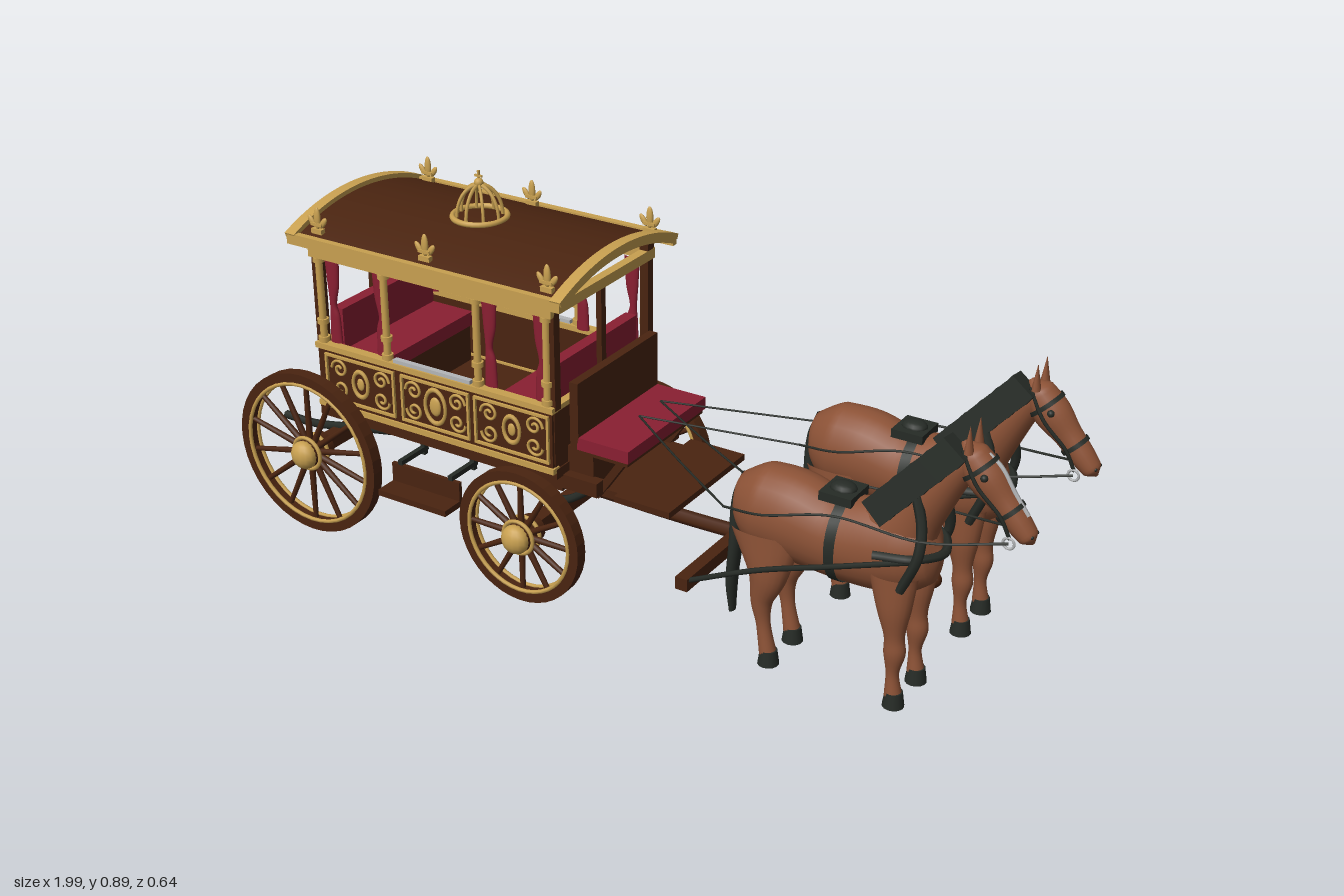
import * as THREE from 'three';

const M = (name, color, side = THREE.FrontSide) => {
  const m = new THREE.MeshStandardMaterial({ color, side });
  m.name = name;
  return m;
};
const V = (x, y, z) => new THREE.Vector3(x, y, z);

// Smooth tube along the xy plane with elliptical sections [x, y, radiusInPlane, radiusZ]
function loft(secs, rows = 24, cols = 20) {
  const path = new THREE.CatmullRomCurve3(secs.map(s => V(s[0], s[1], 0)));
  const radii = new THREE.CatmullRomCurve3(secs.map(s => V(s[2], s[3], 0)));
  const pos = [], idx = [];
  for (let i = 0; i <= rows; i++) {
    const p = path.getPoint(i / rows), t = path.getTangent(i / rows), r = radii.getPoint(i / rows);
    for (let j = 0; j < cols; j++) {
      const a = j / cols * Math.PI * 2, c = Math.cos(a) * r.x;
      pos.push(p.x - t.y * c, p.y + t.x * c, Math.sin(a) * r.y);
      if (i === rows) continue;
      const a0 = i * cols + j, b0 = i * cols + (j + 1) % cols;
      idx.push(a0, b0, a0 + cols, b0, b0 + cols, a0 + cols);
    }
  }
  const g = new THREE.BufferGeometry();
  g.setAttribute('position', new THREE.Float32BufferAttribute(pos, 3));
  g.setIndex(idx);
  g.computeVertexNormals();
  return g;
}
const box = (x, y, z) => new THREE.BoxGeometry(x, y, z);
const cyl = (a, b, h, n = 14) => new THREE.CylinderGeometry(a, b, h, n);
const ball = (r, sx = 1, sy = 1, sz = 1) => new THREE.SphereGeometry(r, 14, 10).scale(sx, sy, sz);
const tube = (pts, r, n = 24) => new THREE.TubeGeometry(new THREE.CatmullRomCurve3(pts.map(p => V(...p))), n, r, 6);

export function createModel() {
  const wood = M('dark wood', 0x4a2410), gold = M('gold', 0xc8a050), red = M('crimson velvet', 0x8a1f32);
  const coat = M('bay coat', 0x8c5236), black = M('black leather', 0x262b26, THREE.DoubleSide), silver = M('silver', 0xb4b6b8);
  const root = new THREE.Group();
  root.name = 'horseCarriage';
  const group = (name, parent = root) => {
    const g = new THREE.Group();
    g.name = name;
    parent.add(g);
    return g;
  };
  const add = (parent, name, geo, mat, x = 0, y = 0, z = 0) => {
    const m = new THREE.Mesh(geo, mat);
    m.name = name;
    m.position.set(x, y, z);
    parent.add(m);
    return m;
  };
  const sides = [1, -1];

  // Wheels
  const wheel = (name, x, R, s, spokes) => {
    const w = group(name);
    w.position.set(x, R, s * 0.272);
    if (s < 0) w.rotation.y = Math.PI;
    const ring = new THREE.Shape().absarc(0, 0, R, 0, Math.PI * 2);
    ring.holes.push(new THREE.Path().absarc(0, 0, R - 0.026, 0, Math.PI * 2, true));
    add(w, 'rim', new THREE.ExtrudeGeometry(ring, { depth: 0.03, bevelEnabled: false, curveSegments: 20 }), wood, 0, 0, -0.015);
    for (const z of [0.014, -0.014]) {
      add(w, 'rimBand', new THREE.TorusGeometry(R - 0.027, 0.005, 6, 40), gold, 0, 0, z);
      add(w, 'hubBand', new THREE.TorusGeometry(0.04, 0.005, 6, 24), gold, 0, 0, z);
    }
    for (let i = 0; i < spokes; i++) {
      const a = i / spokes * Math.PI * 2, r = R / 2;
      add(w, 'spoke', cyl(0.006, 0.008, R - 0.04, 8), wood, -Math.sin(a) * r, Math.cos(a) * r, 0).rotation.z = a;
    }
    add(w, 'hub', cyl(0.034, 0.034, 0.07, 18).rotateX(Math.PI / 2), wood, 0, 0, -0.01);
    add(w, 'hubCap', ball(0.035, 1, 1, 0.75), gold, 0, 0, 0.024);
  };
  for (const s of sides) {
    wheel('rearWheel', -0.795, 0.205, s, 14);
    wheel('frontWheel', -0.18, 0.163, s, 12);
  }

  // Undercarriage
  const under = group('undercarriage');
  add(under, 'rearAxle', box(0.03, 0.035, 0.5), wood, -0.795, 0.205);
  add(under, 'frontAxle', box(0.035, 0.035, 0.5), wood, -0.18, 0.163);
  add(under, 'reach', box(0.64, 0.025, 0.03), wood, -0.48, 0.2);
  add(under, 'turntable', cyl(0.09, 0.09, 0.03, 24), black, -0.18, 0.215);
  add(under, 'bolster', box(0.06, 0.045, 0.3), wood, -0.18, 0.25);
  for (const s of sides) {
    add(under, 'sideBeam', box(0.8, 0.035, 0.03), wood, -0.44, 0.27, s * 0.16);
    add(under, 'rearSpring', tube([[-0.97, 0.21, s * 0.16], [-0.88, 0.21, s * 0.16], [-0.74, 0.235, s * 0.16], [-0.6, 0.26, s * 0.16]], 0.01), black);
    add(under, 'frontSpring', tube([[-0.3, 0.26, s * 0.13], [-0.18, 0.19, s * 0.13], [-0.06, 0.26, s * 0.13]], 0.01), black);
    add(under, 'step', box(0.195, 0.015, 0.06), wood, -0.467, 0.175, s * 0.275);
    add(under, 'stepRiser', box(0.195, 0.055, 0.01), wood, -0.467, 0.202, s * 0.245);
    for (const x of [-0.54, -0.395]) add(under, 'stepHanger', box(0.012, 0.012, 0.1), black, x, 0.235, s * 0.2);
    for (const x of [-0.54, -0.395]) add(under, 'stepBracket', box(0.012, 0.07, 0.012), black, x, 0.255, s * 0.16);
  }

  // Cabin body
  const cabin = group('cabin');
  add(cabin, 'floor', box(0.68, 0.025, 0.4), wood, -0.47, 0.297);
  for (const x of [-0.8, -0.14]) {
    add(cabin, 'endPanel', box(0.014, 0.155, 0.4), wood, x, 0.378);
    add(cabin, 'endMullion', box(0.014, 0.24, 0.018), wood, x, 0.57);
    add(cabin, 'endCornice', box(0.022, 0.025, 0.42), gold, x, 0.694);
    add(cabin, 'endSill', box(0.02, 0.012, 0.41), gold, x, 0.458);
    for (const s of sides) add(cabin, 'cornerPost', box(0.022, 0.28, 0.022), wood, x, 0.595, s * 0.19);
  }
  const spiral = (cx, cy, dir, up) => {
    const pts = [];
    for (let i = 0; i <= 14; i++) {
      const a = i / 14 * 9, r = 0.024 * (1 - i / 17);
      pts.push([cx + dir * Math.cos(a) * r, cy + up * Math.sin(a) * r, 0]);
    }
    return tube(pts, 0.0035, 36);
  };
  for (const s of sides) {
    const side = group('cabinSide', cabin);
    side.position.z = s * 0.2;
    if (s < 0) side.scale.z = -1;
    add(side, 'sidePanel', box(0.67, 0.155, 0.014), wood, -0.47, 0.378, 0);
    for (const [y, h] of [[0.458, 0.014], [0.308, 0.014], [0.694, 0.025]]) add(side, 'sideRail', box(0.68, h, 0.024), gold, -0.47, y, 0);
    add(side, 'upperRail', box(0.68, 0.02, 0.016), wood, -0.47, 0.716, 0);
    add(side, 'doorSill', box(0.22, 0.01, 0.014), silver, -0.47, 0.469, 0);
    // Carved panels
    for (const [x, w, big] of [[-0.68, 0.2, 0], [-0.46, 0.19, 1], [-0.245, 0.2, 0]]) {
      for (const y of [0.328, 0.44]) add(side, 'panelFrame', box(w, 0.006, 0.008), gold, x, y, 0.009);
      for (const d of sides) {
        add(side, 'panelFrame', box(0.006, 0.118, 0.008), gold, x + d * w / 2, 0.384, 0.009);
        for (const u of sides) add(side, 'scroll', spiral(x + d * 0.062, 0.384 + u * 0.025, d, u), gold, 0, 0, 0.009);
      }
      add(side, 'medallionRing', new THREE.TorusGeometry(big ? 0.034 : 0.026, 0.005, 6, 24).scale(0.85, 1.25, 1), gold, x, 0.384, 0.009);
      add(side, 'medallion', ball(big ? 0.02 : 0.013, 0.8, 1.2, 0.3), gold, x, 0.384, 0.009);
    }
    // Columns and tied curtains
    for (const [x, d] of [[-0.79, 1], [-0.6, -1], [-0.34, 1], [-0.15, -1]]) {
      add(side, 'column', cyl(0.009, 0.009, 0.23, 10), gold, x, 0.577, 0);
      for (const y of [0.475, 0.52, 0.675]) add(side, 'columnCollar', cyl(0.014, 0.014, 0.012, 10), gold, x, y, 0);
      const c = x + d * 0.025;
      add(side, 'curtain', loft([[c, 0.465, 0.017, 0.008], [c, 0.53, 0.014, 0.008], [c - d * 0.003, 0.56, 0.009, 0.007], [c, 0.61, 0.016, 0.008], [c, 0.685, 0.021, 0.009]]), red, 0, 0, -0.016);
    }
  }
  // Facing seats inside
  for (const [x, d] of [[-0.77, 1], [-0.17, -1]]) {
    add(cabin, 'seatBack', box(0.03, 0.15, 0.34), red, x, 0.47);
    add(cabin, 'seatCushion', box(0.12, 0.035, 0.34), red, x + d * 0.075, 0.425);
    add(cabin, 'seatBase', box(0.11, 0.1, 0.34), wood, x + d * 0.07, 0.358);
  }

  // Arched roof with gilded edge
  const roof = group('roof');
  const R = 0.577, yc = 0.78 - R, half = 0.4195;
  const arch = (r0, r1, length, h = half) => {
    const s = new THREE.Shape();
    s.absarc(0, yc, r1, Math.PI / 2 - h, Math.PI / 2 + h, false);
    s.absarc(0, yc, r0, Math.PI / 2 + h, Math.PI / 2 - h, true);
    return new THREE.ExtrudeGeometry(s, { depth: length, bevelEnabled: false, curveSegments: 24 }).rotateY(Math.PI / 2);
  };
  add(roof, 'roofShell', arch(R - 0.014, R, 0.74), wood, -0.838);
  for (const x of [-0.848, -0.108]) {
    add(roof, 'endArch', arch(R - 0.014, R + 0.007, 0.02), gold, x);
    add(roof, 'endArchLip', arch(R - 0.002, R + 0.011, 0.028), gold, x - 0.004);
  }
  for (const s of sides) {
    add(roof, 'eave', box(0.76, 0.026, 0.016), gold, -0.468, 0.727, s * 0.23);
    for (const x of [-0.78, -0.47, -0.14]) {
      const f = group('lilyFinial', roof);
      f.position.set(x, 0.742, s * 0.205);
      add(f, 'base', box(0.03, 0.012, 0.014), gold, 0, 0.006);
      add(f, 'middlePetal', ball(0.01, 0.9, 2.7, 0.6), gold, 0, 0.037);
      for (const d of sides) add(f, 'sidePetal', ball(0.008, 0.9, 2, 0.6), gold, d * 0.017, 0.028).rotation.z = -d * 0.6;
      add(f, 'band', box(0.032, 0.007, 0.014), gold, 0, 0.023);
    }
  }
  // Roof crown
  const crown = group('crown', roof);
  crown.position.set(-0.47, 0.783, 0);
  add(crown, 'crownBase', new THREE.TorusGeometry(0.063, 0.007, 8, 32).rotateX(Math.PI / 2), gold);
  for (let i = 0; i < 4; i++) add(crown, 'hoop', new THREE.TorusGeometry(0.053, 0.004, 6, 24, Math.PI).scale(1, 1.4, 1), gold).rotation.y = i * Math.PI / 4;
  add(crown, 'orb', ball(0.011), gold, 0, 0.08);
  add(crown, 'crossUpright', box(0.005, 0.03, 0.005), gold, 0, 0.094);
  add(crown, 'crossArm', box(0.02, 0.005, 0.005), gold, 0, 0.096);

  // Driver's seat, footboard and pole
  const drive = group('driverBox');
  add(drive, 'backrest', box(0.022, 0.16, 0.33), wood, -0.105, 0.437);
  add(drive, 'cushion', box(0.135, 0.03, 0.33), red, -0.03, 0.37);
  add(drive, 'seatBoard', box(0.135, 0.012, 0.32), wood, -0.035, 0.35);
  add(drive, 'seatBox', box(0.07, 0.1, 0.3), wood, -0.1, 0.3);
  add(drive, 'footboard', box(0.145, 0.015, 0.33), wood, 0.072, 0.258);
  add(drive, 'footboardBase', box(0.12, 0.02, 0.28), wood, -0.04, 0.25);
  for (const s of sides) add(drive, 'seatStrut', box(0.018, 0.14, 0.02), wood, -0.02, 0.3, s * 0.14).rotation.z = -0.6;
  add(drive, 'pole', tube([[-0.18, 0.163, 0], [0.1, 0.16, 0], [0.4, 0.17, 0], [0.71, 0.193, 0]], 0.017), wood);
  add(drive, 'poleTip', ball(0.018), wood, 0.708, 0.193);
  add(drive, 'crossbar', box(0.03, 0.03, 0.54), wood, 0.24, 0.168);

  // Horses
  const horse = (name, zc, blaze) => {
    const h = group(name);
    h.position.z = zc;
    add(h, 'body', loft([[0.32, 0.36, 0.004, 0.004], [0.335, 0.362, 0.062, 0.052], [0.39, 0.36, 0.1, 0.08], [0.46, 0.358, 0.102, 0.084], [0.55, 0.342, 0.094, 0.08], [0.65, 0.347, 0.1, 0.079], [0.72, 0.357, 0.097, 0.074], [0.775, 0.362, 0.066, 0.052], [0.795, 0.365, 0.004, 0.004]], 40, 24), coat);
    add(h, 'neck', loft([[0.68, 0.37, 0.1, 0.065], [0.735, 0.455, 0.062, 0.052], [0.785, 0.53, 0.047, 0.045], [0.825, 0.595, 0.037, 0.036], [0.84, 0.63, 0.008, 0.008]]), coat);
    add(h, 'head', loft([[0.823, 0.632, 0.004, 0.004], [0.84, 0.607, 0.036, 0.034], [0.875, 0.568, 0.041, 0.038], [0.915, 0.525, 0.031, 0.029], [0.95, 0.486, 0.027, 0.027], [0.974, 0.46, 0.021, 0.023], [0.985, 0.448, 0.003, 0.003]], 30), coat);
    for (const s of sides) {
      add(h, 'ear', new THREE.ConeGeometry(0.013, 0.06, 10).scale(0.8, 1, 1), coat, 0.845, 0.65, s * 0.024);
      add(h, 'eye', ball(0.008), black, 0.885, 0.58, s * 0.034);
      add(h, 'nostril', ball(0.004), black, 0.985, 0.468, s * 0.013);
      add(h, 'frontLeg', loft([[0.715, 0.32, 0.055, 0.03], [0.72, 0.24, 0.038, 0.029], [0.725, 0.17, 0.022, 0.02], [0.727, 0.14, 0.024, 0.021], [0.725, 0.085, 0.014, 0.014], [0.729, 0.035, 0.019, 0.019]]), coat, 0, 0, s * 0.054);
      add(h, 'hindLeg', loft([[0.42, 0.33, 0.085, 0.03], [0.425, 0.23, 0.046, 0.032], [0.412, 0.16, 0.025, 0.022], [0.418, 0.1, 0.016, 0.015], [0.43, 0.035, 0.019, 0.019]]), coat, 0, 0, s * 0.054);
      for (const x of [0.731, 0.432]) add(h, 'hoof', cyl(0.019, 0.024, 0.035), black, x, 0.026, s * 0.054);
    }
    for (let i = 0; i < 10; i++) {
      const t = i / 9, lock = add(h, 'maneLock', box(0.027, 0.062, 0.045), black, 0.668 + 0.147 * t, 0.452 + 0.165 * t, 0.037 - 0.012 * t);
      lock.rotation.set(-0.15, 0, 0.84 + (i % 2) * 0.1);
    }
    add(h, 'tail', loft([[0.338, 0.42, 0.01, 0.01], [0.318, 0.36, 0.012, 0.013], [0.315, 0.25, 0.014, 0.02], [0.307, 0.15, 0.012, 0.019], [0.31, 0.075, 0.006, 0.012]]), black);
    if (blaze) add(h, 'blaze', tube([[0.877, 0.617, 0], [0.906, 0.595, 0], [0.938, 0.547, 0], [0.969, 0.505, 0]], 0.005), silver);

    // Harness
    const band = (n, x, y, a, r1, r2, w) => {
      const c = Math.cos(a) * w, s = Math.sin(a) * w;
      add(h, n, loft([[x - c, y - s, r1, r2], [x + c, y + s, r1, r2]], 2, 28), black);
    };
    band('girth', 0.58, 0.342, 0, 0.099, 0.085, 0.012);
    band('noseband', 0.932, 0.506, -0.83, 0.033, 0.032, 0.005);
    band('browband', 0.862, 0.583, -0.83, 0.043, 0.04, 0.005);
    add(h, 'saddlePad', box(0.075, 0.02, 0.08), black, 0.567, 0.442);
    add(h, 'saddle', ball(0.025, 1.2, 0.6, 1), black, 0.567, 0.452);
    add(h, 'breastBand', tube([[0.68, 0.37, 0.085], [0.765, 0.375, 0.065], [0.8, 0.37, 0], [0.765, 0.375, -0.065], [0.68, 0.37, -0.085]], 0.01), black);
    for (const s of sides) {
      add(h, 'trace', tube([[0.76, 0.37, s * 0.07], [0.6, 0.32, s * 0.09], [0.42, 0.255, s * 0.092], [0.25, 0.175, s * 0.09]], 0.006), black);
      add(h, 'collarPad', tube([[0.745, 0.52, s * 0.042], [0.772, 0.45, s * 0.06], [0.775, 0.39, s * 0.075], [0.74, 0.3, s * 0.076]], 0.011), black);
      add(h, 'cheekStrap', tube([[0.835, 0.625, s * 0.03], [0.872, 0.565, s * 0.041], [0.925, 0.505, s * 0.034], [0.945, 0.46, s * 0.028]], 0.004), black);
      add(h, 'bitRing', new THREE.TorusGeometry(0.012, 0.003, 6, 16), silver, 0.945, 0.452, s * 0.031);
      add(h, 'rein', tube([[0.945, 0.452, s * 0.033], [0.78, 0.425, s * 0.075], [0.58, 0.425, s * 0.075], [0.42, 0.385, s * 0.086], [0.32, 0.366, s * 0.065]], 0.003, 36), black);
      add(h, 'reinToDriver', tube([[0.32, 0.366, s * 0.065], [0.15, 0.388, (s * 0.065 + s * 0.045 - zc) / 2], [-0.01, 0.412, s * 0.045 - zc]], 0.0025), black);
    }
  };
  horse('leftHorse', 0.167, true);
  horse('rightHorse', -0.167, false);
  return root;
}
